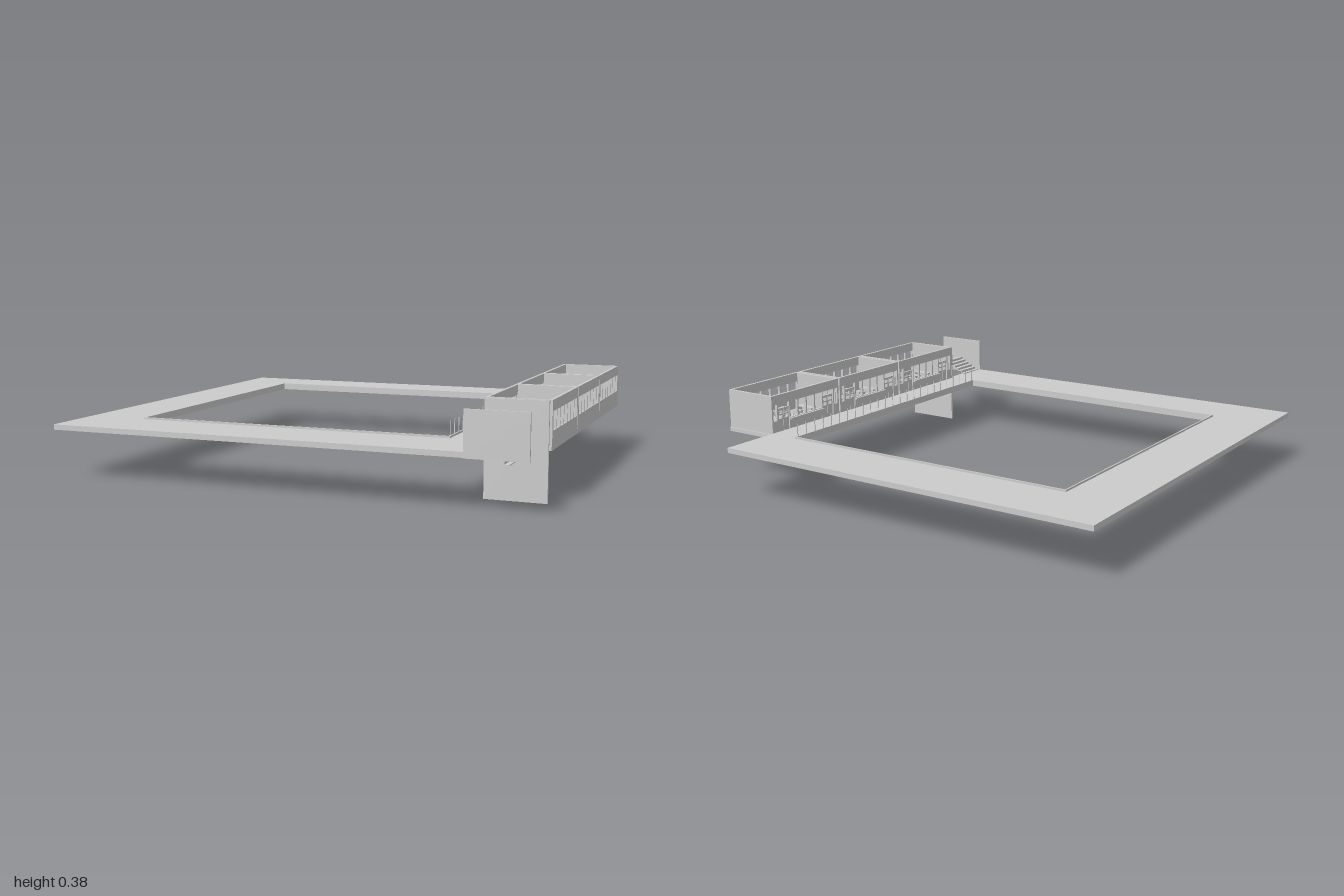
import * as THREE from 'three';

const mat = new THREE.MeshStandardMaterial({ color: 0xcccccc, flatShading: true });

// Box given by its min and max corners
function box(parent, name, x0, x1, y0, y1, z0, z1) {
  const m = new THREE.Mesh(new THREE.BoxGeometry(x1 - x0, y1 - y0, z1 - z0), mat);
  m.position.set((x0 + x1) / 2, (y0 + y1) / 2, (z0 + z1) / 2);
  m.name = name;
  parent.add(m);
  return m;
}

function rect(path, a0, a1, b0, b1) {
  path.moveTo(a0, b0);
  path.lineTo(a1, b0);
  path.lineTo(a1, b1);
  path.lineTo(a0, b1);
  path.closePath();
  return path;
}

// Wall in the z-y plane with rectangular openings [z0, z1, y0, y1]
function wall(parent, name, x0, x1, z0, z1, y0, y1, openings) {
  const shape = rect(new THREE.Shape(), z0, z1, y0, y1);
  for (const o of openings) shape.holes.push(rect(new THREE.Path(), ...o));
  const g = new THREE.ExtrudeGeometry(shape, { depth: x1 - x0, bevelEnabled: false });
  g.rotateY(-Math.PI / 2);
  g.translate(x1, 0, 0);
  const m = new THREE.Mesh(g, mat);
  m.name = name;
  parent.add(m);
}

// Row of equal panes between z0 and z1, separated by mullions
function panes(z0, z1, count, y0, y1, bar = 0.007) {
  const w = (z1 - z0 - bar * (count - 1)) / count;
  return Array.from({ length: count }, (_, i) => {
    const a = z0 + i * (w + bar);
    return [a, a + w, y0, y1];
  });
}

const FLOOR = 0.215, TOP = 0.385, SILL = 0.27, HEAD = 0.343;

// Pupil's table with a chair behind it
function makeDesk(x, z) {
  const g = new THREE.Group();
  g.name = 'desk';
  box(g, 'deskTop', -0.021, 0.021, 0.03, 0.033, -0.008, 0.014);
  for (const s of [-1, 1]) {
    box(g, 'deskSide', s * 0.018 - 0.0015, s * 0.018 + 0.0015, 0, 0.03, -0.006, 0.012);
    for (const lz of [-0.024, -0.01])
      box(g, 'chairLeg', s * 0.01 - 0.001, s * 0.01 + 0.001, 0, 0.018, lz - 0.001, lz + 0.001);
  }
  box(g, 'chairSeat', -0.012, 0.012, 0.018, 0.02, -0.025, -0.008);
  box(g, 'chairBack', -0.012, 0.012, 0.02, 0.038, -0.026, -0.023);
  g.position.set(x, FLOOR, z);
  return g;
}

// Paneled double door with glazed upper half
function makeDoor(z) {
  const g = new THREE.Group();
  g.name = 'door';
  for (const s of [-1, 1]) {
    const a = z + (s < 0 ? -0.033 : 0.001);
    wall(g, 'doorLeaf', 0.747, 0.752, a, a + 0.032, FLOOR, 0.318, [
      [a + 0.005, a + 0.027, 0.275, 0.29],
      [a + 0.005, a + 0.027, 0.296, 0.311]
    ]);
  }
  box(g, 'doorTransom', 0.745, 0.754, 0.318, 0.322, z - 0.035, z + 0.035);
  return g;
}

// Open-topped classroom, built around z = 0
function makeClassroom() {
  const g = new THREE.Group();
  g.name = 'classroom';
  const h = 0.219;
  box(g, 'floor', 0.743, 0.998, 0.197, FLOOR, -h - 0.006, h + 0.006);
  wall(g, 'outerWall', 0.986, 0.998, -h, h, FLOOR, TOP, panes(-0.205, 0.205, 7, SILL, HEAD));
  wall(g, 'corridorWall', 0.743, 0.755, -h, h, FLOOR, TOP, [
    ...panes(-0.105, 0.105, 4, SILL, HEAD),
    [-0.18, -0.11, FLOOR + 0.001, HEAD], [0.11, 0.18, FLOOR + 0.001, HEAD],
    [-0.21, -0.187, SILL, HEAD], [0.187, 0.21, SILL, HEAD]
  ]);
  for (const s of [-1, 1]) {
    const z = s * (h - 0.006);
    box(g, 'partition', 0.755, 0.986, FLOOR, TOP, z - 0.006, z + 0.006);
    g.add(makeDoor(s * 0.145));
  }
  box(g, 'windowLedge', 0.732, 0.745, 0.262, 0.268, -0.11, 0.11);
  // Rows of desks, the rear one missing a place
  [-0.163, -0.083, -0.003, 0.077].forEach((z, row) => {
    [0.782, 0.867, 0.953].forEach((x, col) => {
      if (row > 0 || col > 0) g.add(makeDesk(x, z));
    });
  });
  // Teacher's table and board
  box(g, 'teacherTableTop', 0.823, 0.913, 0.25, 0.254, 0.118, 0.15);
  for (const x of [0.826, 0.907]) box(g, 'teacherTableSide', x, x + 0.003, FLOOR, 0.25, 0.12, 0.148);
  box(g, 'teacherTableFront', 0.829, 0.907, 0.225, 0.25, 0.145, 0.147);
  box(g, 'board', 0.8, 0.94, 0.27, 0.34, 0.204, 0.208);
  return g;
}

// Folded strip of treads and risers; rise is negative for a descending flight
function makeFlight(name, x, y, rise, z0, z1) {
  const g = new THREE.Group();
  g.name = name;
  const run = 0.021, t = 0.004;
  for (let i = 0; i < 6; i++) {
    const a = x + i * run, b = y + i * rise;
    box(g, 'tread', a, a + run, b - t, b, z0, z1);
    if (i < 5)
      box(g, 'riser', a + run - t / 2, a + run + t / 2, Math.min(b, b + rise) - t, Math.max(b, b + rise), z0, z1);
  }
  return g;
}

export function createModel() {
  const model = new THREE.Group();
  model.name = 'schoolFloor';

  // Walkway ring around the courtyard
  const ring = rect(new THREE.Shape(), -1, 0.743, -0.925, 0.94);
  ring.holes.push(rect(new THREE.Path(), -0.73, 0.6, -0.655, 0.672));
  const slab = new THREE.ExtrudeGeometry(ring, { depth: 0.022, bevelEnabled: false });
  slab.rotateX(-Math.PI / 2);
  slab.translate(0, 0.198, 0);
  const walkway = new THREE.Mesh(slab, mat);
  walkway.name = 'walkway';
  model.add(walkway);

  // Low curb around the opening
  for (const x of [-0.736, 0.6]) box(model, 'curb', x, x + 0.006, 0.22, 0.228, -0.678, 0.661);
  for (const z of [-0.678, 0.655]) box(model, 'curb', -0.73, 0.6, 0.22, 0.228, z, z + 0.006);

  // Railing posts facing the classrooms
  for (let i = 0; i < 25; i++) {
    const z = -0.665 + i * 1.31 / 24;
    box(model, 'railingPost', 0.601, 0.604, 0.22, 0.285, z - 0.0015, z + 0.0015);
  }

  // Three classrooms in a row
  for (const z of [-0.452, -0.005, 0.442]) {
    const room = makeClassroom();
    room.position.z = z;
    model.add(room);
  }

  // Stairwell: end walls and two flights
  box(model, 'tallEndWall', 0.743, 0.988, 0, 0.383, 0.662, 0.672);
  box(model, 'stairEndWall', 0.743, 0.985, 0.198, 0.375, 0.927, 0.936);
  model.add(makeFlight('lowerFlight', 0.75, 0.215, -0.011, 0.672, 0.8));
  model.add(makeFlight('upperFlight', 0.755, 0.22, 0.011, 0.8, 0.927));
  return model;
}
